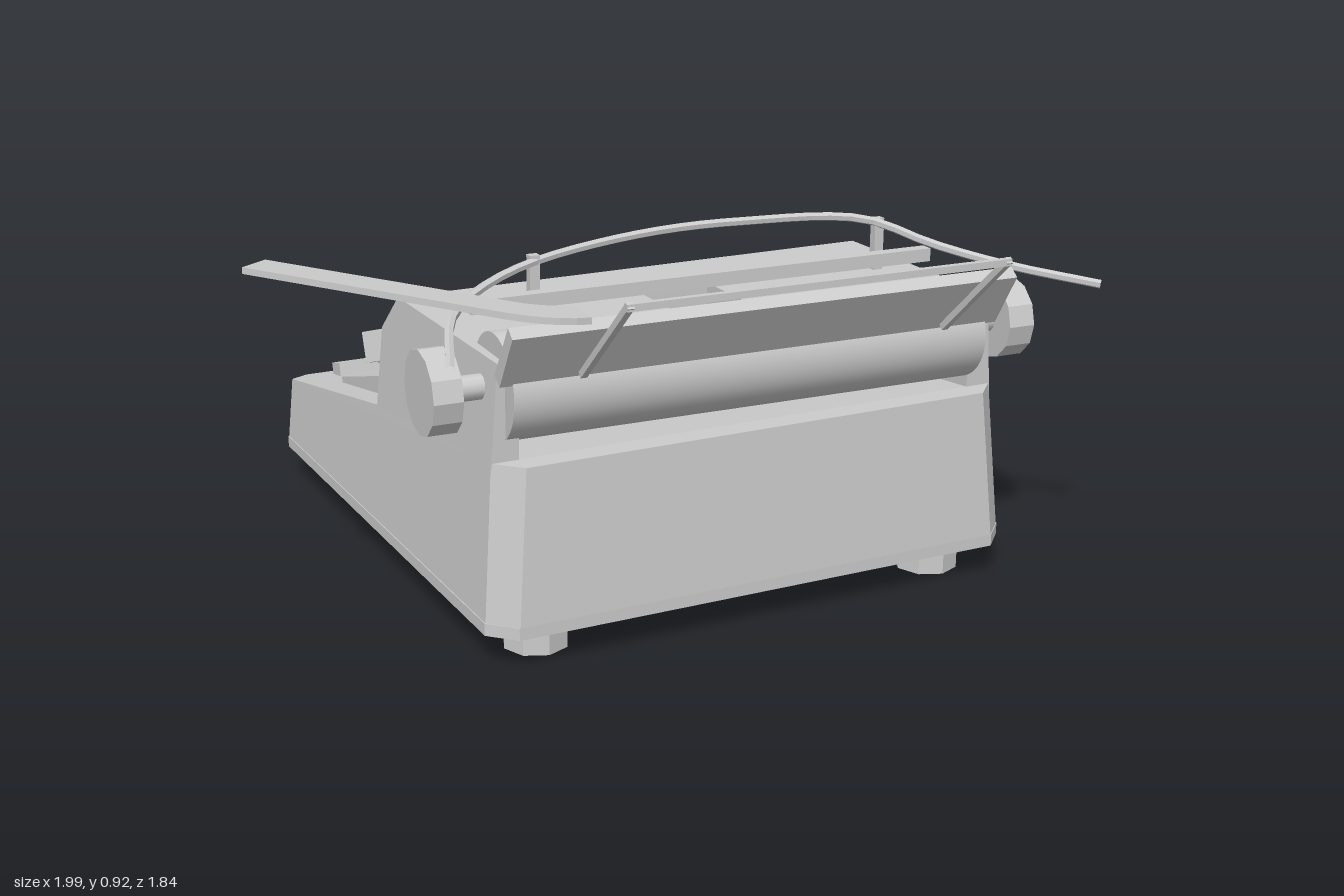
import * as THREE from 'three';
import { ConvexGeometry } from 'three/addons/geometries/ConvexGeometry.js';

const grey = new THREE.MeshStandardMaterial({ color: 0xcccccc });
grey.name = 'light grey';

// Faceted copy of a geometry
function flat(geometry) {
  const g = geometry.index ? geometry.toNonIndexed() : geometry;
  g.computeVertexNormals();
  return g;
}

function add(parent, name, geometry, x = 0, y = 0, z = 0) {
  const mesh = new THREE.Mesh(geometry, grey);
  mesh.name = name;
  mesh.position.set(x, y, z);
  parent.add(mesh);
  return mesh;
}

const hull = (points) => new ConvexGeometry(points.map((p) => new THREE.Vector3(...p)));

// Square bar between two points
function bar(parent, name, a, b, t) {
  const from = new THREE.Vector3(...a), to = new THREE.Vector3(...b);
  const mesh = add(parent, name, new THREE.BoxGeometry(t, t, from.distanceTo(to) + t));
  mesh.position.copy(from).add(to).multiplyScalar(0.5);
  mesh.lookAt(to);
}

// Half width of the tapering body at a height
const half = (y) => 0.705 - 0.08 * (y - 0.08);

function outline(shape, hw, zf, zb, c) {
  const pts = [[-hw, zf + c], [-hw + c, zf], [hw - c, zf], [hw, zf + c],
    [hw, zb - c], [hw - c, zb], [-hw + c, zb], [-hw, zb - c]];
  shape.setFromPoints(pts.map(([x, z]) => new THREE.Vector2(x, -z)));
  return shape;
}

function buildBody() {
  const body = new THREE.Group();
  body.name = 'body';
  body.position.set(0.121, 0, -0.128);
  body.rotation.y = 0.037;

  // Base with chamfered corners and sloping deck
  const c = 0.06, base = [];
  for (const s of [-1, 1]) {
    const w = (y) => s * half(y);
    base.push(
      [w(0.11), 0.11, -0.773 + c], [w(0.11) - s * c, 0.11, -0.773],
      [w(0.11), 0.11, 0.773 - c], [w(0.11) - s * c, 0.11, 0.773],
      [w(0.27), 0.282, -0.76 + c], [w(0.27) - s * c, 0.27, -0.76],
      [w(0.405), 0.405, -0.03],
      [w(0.48), 0.48, 0.748 - c], [w(0.48) - s * c, 0.48, 0.748]);
  }
  add(body, 'base', hull(base));

  // Rim under the base around a recessed panel
  const rim = outline(new THREE.Shape(), half(0.08), -0.773, 0.773, c);
  rim.holes.push(outline(new THREE.Path(), 0.61, -0.68, 0.68, 0.02));
  const rimGeo = new THREE.ExtrudeGeometry(rim, { depth: 0.03, bevelEnabled: false });
  add(body, 'baseRim', rimGeo.rotateX(-Math.PI / 2), 0, 0.08, 0);

  // Raised cover, notched at the rear middle
  const cover = [];
  for (const s of [-1, 1]) {
    for (const [z, y] of [[-0.03, 0.39], [-0.02, 0.61], [0.078, 0.71], [0.29, 0.71], [0.29, 0.39]]) {
      cover.push([s * half(y), y, z]);
    }
  }
  add(body, 'cover', hull(cover));
  for (const [s, inner] of [[-1, -0.105], [1, 0.09]]) {
    const rear = [], plate = [];
    for (const y of [0.43, 0.71]) {
      for (const z of [0.29, 0.49]) rear.push([s * half(y), y, z], [inner, y, z]);
      for (const z of [0.48, 0.69]) plate.push([s * half(y), y, z], [s * 0.605, y, z]);
    }
    add(body, 'coverRear', hull(rear));
    add(body, 'endPlate', hull(plate));
  }

  // Sloped panel under the keys
  const panel = [];
  for (const x of [-0.61, 0.61]) {
    panel.push([x, 0.39, -0.02], [x, 0.475, -0.02], [x, 0.31, -0.5], [x, 0.335, -0.5]);
  }
  add(body, 'keyPanel', hull(panel));

  // Four staggered rows of six-sided keys with recessed tops
  const profile = [[0, -0.042], [0.07, -0.042], [0.07, 0.042], [0.055, 0.042], [0.055, 0.03], [0, 0.03]];
  const keyGeo = flat(new THREE.LatheGeometry(
    profile.map(([x, y]) => new THREE.Vector2(x, y)), 6, Math.PI / 2));
  const rows = [[-0.54, 0.047], [-0.418, -0.023], [-0.298, 0.045], [-0.177, -0.025]];
  for (const [z, mid] of rows) {
    for (let i = 0; i < 8; i++) {
      const key = add(body, 'key', keyGeo, mid + (i - 3.5) * 0.137, 0.524 + (z + 0.17) * 0.354, z);
      key.rotation.x = -0.33;
    }
  }
  const space = add(body, 'spaceBar', new THREE.BoxGeometry(1.165, 0.05, 0.065), 0.01, 0.3, -0.657);
  space.rotation.x = -0.25;

  // Feet
  const footGeo = flat(new THREE.CylinderGeometry(0.08, 0.08, 0.1, 8));
  for (const x of [-0.545, 0.545]) {
    for (const z of [-0.632, 0.635]) add(body, 'foot', footGeo, x, 0.05, z);
  }
  return body;
}

function buildCarriage() {
  const carriage = new THREE.Group();
  carriage.name = 'carriage';

  // Roller, axle and knobs
  const roller = new THREE.CylinderGeometry(0.125, 0.125, 1.22, 48).rotateZ(Math.PI / 2);
  add(carriage, 'roller', roller, 0.12, 0.635, 0.515);
  const axle = new THREE.CylinderGeometry(0.03, 0.03, 1.5, 12).rotateZ(Math.PI / 2);
  add(carriage, 'axle', axle, 0.12, 0.635, 0.5);
  const knobGeo = flat(new THREE.CylinderGeometry(0.1, 0.1, 0.07, 12).rotateZ(Math.PI / 2));
  for (const x of [-0.625, 0.865]) add(carriage, 'knob', knobGeo, x, 0.637, 0.497);

  // Tilted paper table and its wire support
  const table = [];
  for (const x of [-0.52, 0.76]) {
    table.push([x, 0.8, 0.71], [x, 0.82, 0.685], [x, 0.69, 0.6], [x, 0.67, 0.63]);
  }
  add(carriage, 'paperTable', hull(table));
  const wire = [[-0.335, 0.69, 0.665], [-0.335, 0.9, 0.9], [0.595, 0.9, 0.9], [0.595, 0.69, 0.665]];
  for (let i = 0; i < 3; i++) bar(carriage, 'paperSupport', wire[i], wire[i + 1], 0.016);

  // Rail with two posts
  add(carriage, 'rail', new THREE.BoxGeometry(1.22, 0.033, 0.033), 0.12, 0.782, 0.365);
  for (const x of [-0.32, 0.6]) {
    add(carriage, 'railPost', new THREE.BoxGeometry(0.025, 0.13, 0.022), x, 0.815, 0.337);
  }

  // Curved paper bail
  const bail = [[-0.67, 0.76, 0.735], [-0.585, 0.81, 0.52], [-0.475, 0.838, 0.415],
    [-0.315, 0.865, 0.34], [-0.02, 0.89, 0.29], [0.245, 0.893, 0.285], [0.565, 0.878, 0.33],
    [0.7, 0.825, 0.44], [0.83, 0.79, 0.575], [0.985, 0.765, 0.735]];
  const path = new THREE.CatmullRomCurve3(bail.map((p) => new THREE.Vector3(...p)));
  const bailGeo = flat(new THREE.TubeGeometry(path, 36, 0.011, 6));
  add(carriage, 'paperBail', bailGeo);

  // Flat return lever, rising toward its outer end
  const lever = new THREE.Shape();
  lever.moveTo(-1, -0.33);
  lever.lineTo(-0.56, -0.775);
  lever.quadraticCurveTo(-0.48, -0.85, -0.39, -0.835);
  lever.lineTo(-0.39, -0.74);
  lever.quadraticCurveTo(-0.43, -0.74, -0.49, -0.705);
  lever.lineTo(-0.93, -0.262);
  const leverGeo = new THREE.ExtrudeGeometry(lever, { depth: 0.015, bevelEnabled: false, curveSegments: 5 });
  leverGeo.rotateX(-Math.PI / 2);
  const p = leverGeo.attributes.position;
  for (let i = 0; i < p.count; i++) p.setY(i, p.getY(i) + 0.853 - 0.085 * (p.getX(i) + 0.39));
  add(carriage, 'returnLever', flat(leverGeo));
  return carriage;
}

export function createModel() {
  const model = new THREE.Group();
  model.name = 'typewriter';
  model.add(buildBody(), buildCarriage());
  return model;
}
